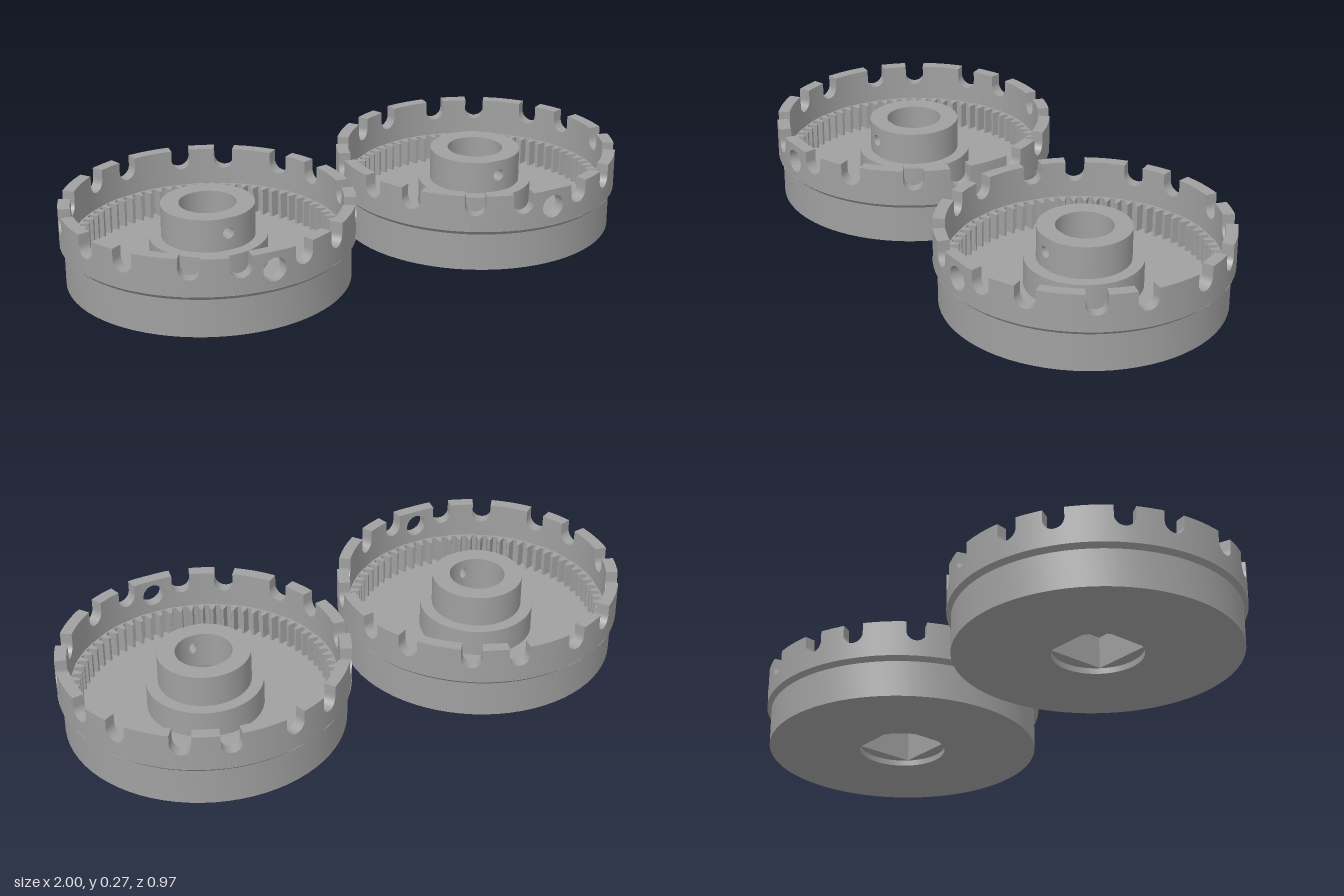
import * as THREE from 'three';
import { mergeGeometries, toCreasedNormals } from 'three/addons/utils/BufferGeometryUtils.js';

const DEG = Math.PI / 180;
const steel = new THREE.MeshStandardMaterial({ color: 0xa0a0a0 });
steel.name = 'grey steel';

function mesh(name, geometry) {
  const m = new THREE.Mesh(geometry, steel);
  m.name = name;
  return m;
}

// Flat shape (x = arc length at the outer radius) bent into a wall around the y axis
function bentPanel(shape, angle, inner, outer) {
  const g = new THREE.ExtrudeGeometry(shape, { depth: 1, bevelEnabled: false, curveSegments: 12 });
  const p = g.attributes.position, n = g.attributes.normal;
  for (let i = 0; i < p.count; i++) {
    const t = p.getX(i) / outer + angle;
    const r = inner + (outer - inner) * p.getZ(i);
    const s = Math.sin(t), c = Math.cos(t), nx = n.getX(i), nz = n.getZ(i);
    p.setXYZ(i, r * s, p.getY(i), r * c);
    n.setXYZ(i, nx * c + nz * s, n.getY(i), nz * c - nx * s);
  }
  return g;
}

function rectangle(w, y0, y1) {
  return new THREE.Shape([[-w, y0], [w, y0], [w, y1], [-w, y1]].map(([x, y]) => new THREE.Vector2(x, y)));
}

function withHole(shape, y, r) {
  shape.holes.push(new THREE.Path().absarc(0, y, r, 0, Math.PI * 2, true));
  return shape;
}

// Rectangle with a round-bottomed slot open at the top
function slotted(w, y0, y1, r, bottom) {
  const s = new THREE.Shape();
  s.moveTo(-w, y0);
  s.lineTo(w, y0);
  s.lineTo(w, y1);
  s.lineTo(r, y1);
  s.lineTo(r, bottom + r);
  s.absarc(0, bottom + r, r, 0, -Math.PI, true);
  s.lineTo(-r, y1);
  s.lineTo(-w, y1);
  return s;
}

// Plain wall between two angles, in short pieces so that it stays round
function plainWall(list, from, to, step, y0, y1, inner, outer) {
  const count = Math.ceil((to - from) / step - 1e-6);
  const d = (to - from) / count;
  for (let i = 0; i < count; i++) {
    list.push(bentPanel(rectangle(d / 2 * DEG * outer, y0, y1), (from + (i + 0.5) * d) * DEG, inner, outer));
  }
}

function crown() {
  const inner = 0.445, outer = 0.485, y0 = 0.143, y1 = 0.27, half = 5.5;
  const parts = [bentPanel(withHole(rectangle(6 * DEG * outer, y0, y1), 0.21, 0.04), 0, inner, outer)];
  let end = 6;
  for (let quarter = 0; quarter < 360; quarter += 90) {
    for (const a of [13, 32, 58, 77]) {
      const angle = quarter + a;
      plainWall(parts, end, angle - half, 4, y0, y1, inner, outer);
      parts.push(bentPanel(slotted(half * DEG * outer, y0, y1, 0.035, 0.2), angle * DEG, inner, outer));
      end = angle + half;
    }
  }
  plainWall(parts, end, 354, 4, y0, y1, inner, outer);
  return mergeGeometries(parts);
}

function hubWall() {
  const inner = 0.095, outer = 0.155, y0 = 0.145, y1 = 0.257;
  const parts = [bentPanel(withHole(rectangle(12 * DEG * outer, y0, y1), 0.205, 0.02), 0, inner, outer)];
  plainWall(parts, 12, 348, 8, y0, y1, inner, outer);
  return mergeGeometries(parts);
}

function lathe(points) {
  const g = new THREE.LatheGeometry(points.map(([r, y]) => new THREE.Vector2(r, y)), 72);
  return toCreasedNormals(g, 0.5);
}

// Disc with a hole, standing between two heights
function plate(radius, hole, y0, y1) {
  const s = new THREE.Shape().absarc(0, 0, radius, 0, Math.PI * 2, false);
  s.holes.push(hole);
  const g = new THREE.ExtrudeGeometry(s, { depth: y1 - y0, bevelEnabled: false, curveSegments: 48 });
  g.rotateX(-Math.PI / 2).translate(0, y0, 0);
  return toCreasedNormals(g, 0.4);
}

// Outline of the inward-pointing teeth
function toothOutline(count, root, tip) {
  const points = [];
  for (let i = 0; i < count; i++) {
    for (const [f, r] of [[0, root], [0.36, root], [0.56, tip], [0.8, tip]]) {
      const a = (i + f) / count * Math.PI * 2;
      points.push(new THREE.Vector2(r * Math.cos(a), r * Math.sin(a)));
    }
  }
  return new THREE.Path(points.reverse());
}

function squareOutline(h) {
  return new THREE.Path([[-h, -h], [-h, h], [h, h], [h, -h]].map(([x, y]) => new THREE.Vector2(x, y)));
}

function createGear() {
  const gear = new THREE.Group();
  gear.add(
    mesh('outerBody', lathe([[0.15, 0.02], [0.15, 0], [0.47, 0], [0.47, 0.128], [0.485, 0.143], [0.44, 0.143]])),
    mesh('notchedCrown', crown()),
    mesh('internalTeeth', plate(0.449, toothOutline(72, 0.44, 0.412), 0.05, 0.142)),
    mesh('floor', lathe([[0.449, 0.05], [0.19, 0.05]])),
    mesh('hubFlangeWithSquareSocket', plate(0.195, squareOutline(0.105), 0.02, 0.13)),
    mesh('hubFlangeTop', plate(0.195, new THREE.Path().absarc(0, 0, 0.095, 0, Math.PI * 2, true), 0.13, 0.145)),
    mesh('hub', hubWall())
  );
  return gear;
}

export function createModel() {
  const model = new THREE.Group();
  model.name = 'ringGearPair';
  for (const [name, x] of [['leftGear', 0.515], ['rightGear', -0.515]]) {
    const gear = createGear();
    gear.name = name;
    gear.position.x = x;
    model.add(gear);
  }
  return model;
}
